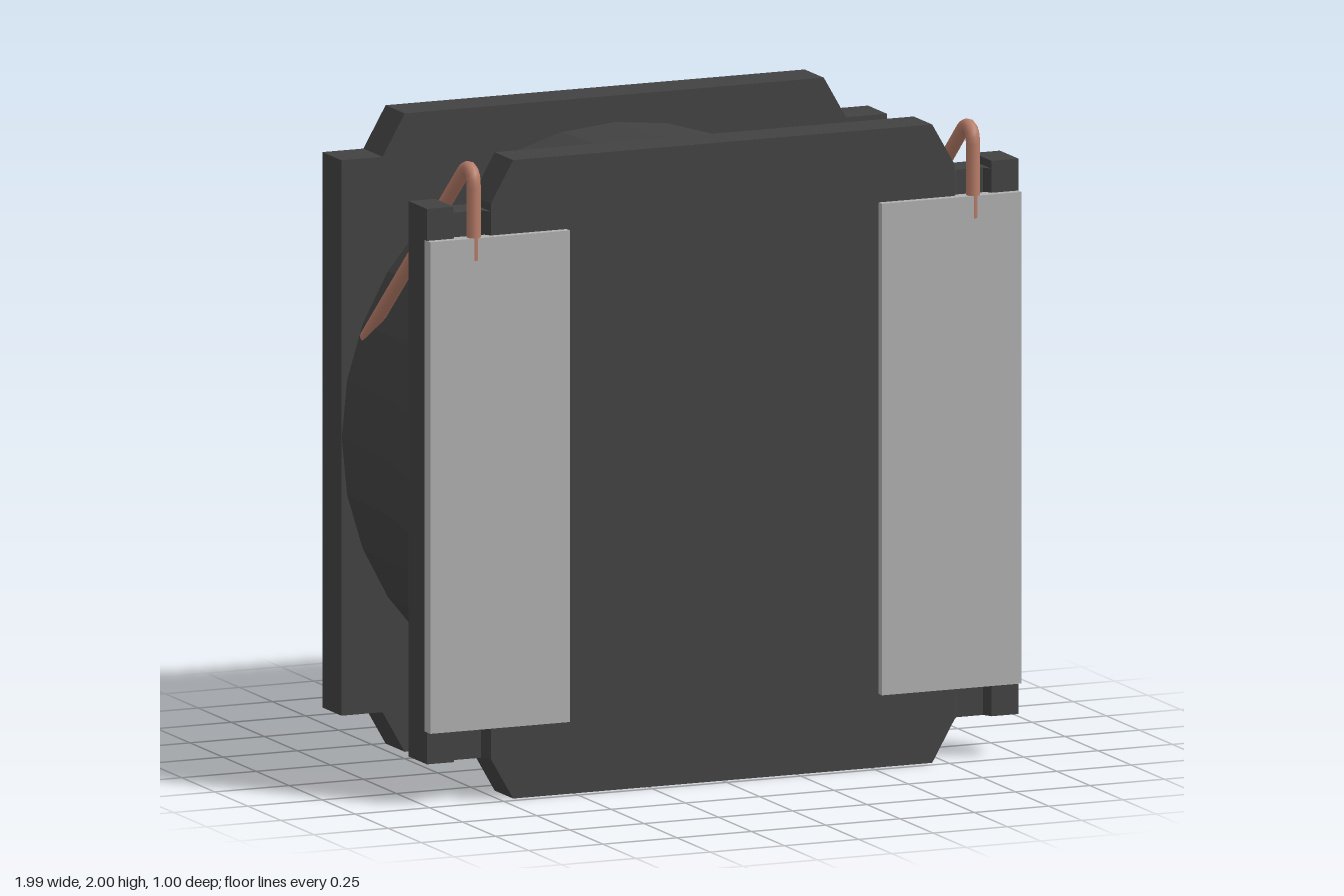
import * as THREE from 'three';

const mat = (color, flatShading = true) => new THREE.MeshStandardMaterial({ color, flatShading });

export function createModel() {
  const model = new THREE.Group();
  const ferrite = mat(0x424242);
  const metal = mat(0xb0b0b0);
  const copper = mat(0xb87d69, false);
  const paint = mat(0x999999);

  const add = (name, geometry, material) => {
    const mesh = new THREE.Mesh(geometry, material);
    mesh.name = name;
    model.add(mesh);
    return mesh;
  };
  const box = (name, x0, x1, y0, y1, z0, z1, material) =>
    add(name, new THREE.BoxGeometry(Math.abs(x1 - x0), y1 - y0, z1 - z0), material)
      .position.set((x0 + x1) / 2, (y0 + y1) / 2, (z0 + z1) / 2);
  const extrude = (points, depth) => new THREE.ExtrudeGeometry(
    new THREE.Shape(points.map(([x, y]) => new THREE.Vector2(x, y))),
    { depth, bevelEnabled: false });

  // Mirror a quarter outline into a closed plate outline centred on y = 1
  const plate = (quarter, z0, z1) => {
    const rev = [...quarter].reverse();
    const outline = [
      ...quarter.map(([x, y]) => [x, 1 + y]),
      ...rev.map(([x, y]) => [x, 1 - y]),
      ...quarter.map(([x, y]) => [-x, 1 - y]),
      ...rev.map(([x, y]) => [-x, 1 + y]),
    ];
    return extrude(outline, z1 - z0).translate(0, 0, z0);
  };

  // Flanges at either end of the core
  add('backFlange', plate([[0.705, 1], [0.78, 0.87], [0.918, 0.87]], -0.495, -0.35), ferrite);
  add('frontFlange', plate([[0.705, 1], [0.78, 0.87]], 0.33, 0.47), ferrite);

  // Faceted, waisted body between the flanges
  const profile = [[0.915, -0.36], [0.917, -0.35], [0.932, 0], [0.992, 0.33], [0.95, 0.335]]
    .map(([r, z]) => new THREE.Vector2(r, z));
  add('windingBody', new THREE.LatheGeometry(profile, 32)
    .rotateX(Math.PI / 2).translate(0, 1, 0), ferrite);

  for (const s of [1, -1]) {
    const side = s > 0 ? 'left' : 'right';

    // Grooved side strip of the front flange, extruded upwards
    const section = [[0.78, 0.33], [0.995, 0.33], [0.995, 0.47], [0.905, 0.47],
      [0.89, 0.44], [0.8, 0.44], [0.78, 0.47]].map(([x, z]) => [s * x, -z]);
    add(side + 'FlangeStrip', extrude(section, 1.715)
      .rotateX(-Math.PI / 2).translate(0, 0.13, 0), ferrite);
    box(side + 'FlangeTab', s * 0.905, s * 0.995, 1.845, 1.87, 0.33, 0.47, ferrite);

    // Solder terminal
    box(side + 'Terminal', s * 0.525, s * 0.995, 0.23, 1.77, 0.45, 0.495, metal);

    // Wire lead: up the groove, over the flange, down to the body
    const v = (y, z, x = 0.84) => new THREE.Vector3(s * x, y, z);
    const path = new THREE.CurvePath();
    path.add(new THREE.LineCurve3(v(1.7, 0.475), v(1.93, 0.475)));
    path.add(new THREE.CubicBezierCurve3(v(1.93, 0.475), v(1.985, 0.475), v(1.998, 0.435), v(1.955, 0.39)));
    path.add(new THREE.LineCurve3(v(1.955, 0.39), v(1.315, -0.325, 0.845)));
    add(side + 'WireLead', new THREE.TubeGeometry(path, 80, 0.022, 10), copper);
  }

  // Round orientation mark on the back
  add('orientationDot', new THREE.CylinderGeometry(0.09, 0.09, 0.006, 14)
    .rotateX(Math.PI / 2).translate(0.635, 1.565, -0.495), paint);

  return model;
}
